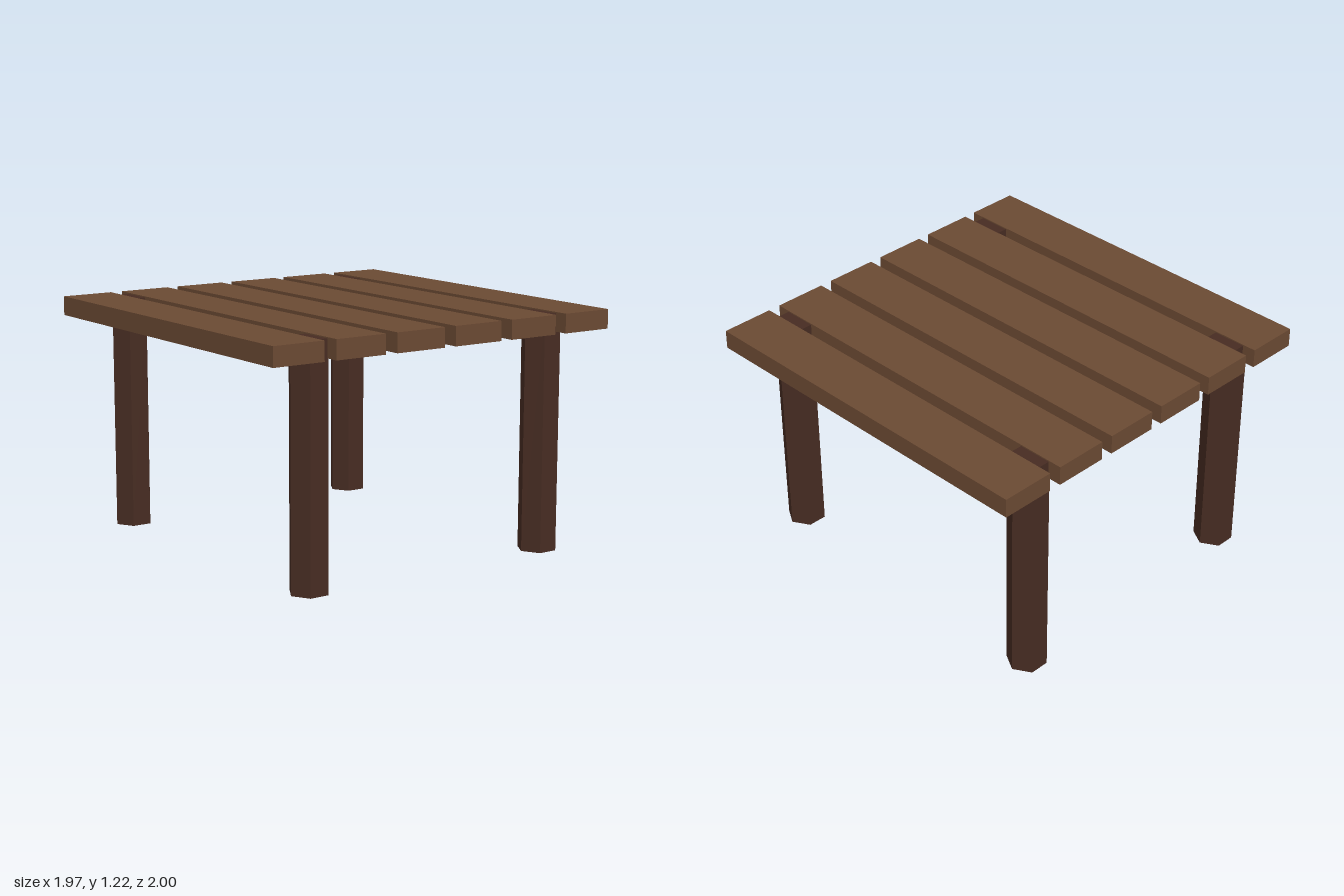
import * as THREE from 'three';

export function createModel() {
  const table = new THREE.Group();
  table.name = 'slattedTable';

  const slatWood = new THREE.MeshStandardMaterial({ name: 'slat brown', color: 0x6b4a33 });
  const legWood = new THREE.MeshStandardMaterial({ name: 'dark leg brown', color: 0x472c22 });
  legWood.flatShading = true;

  // Six evenly spaced planks form the top
  const slatCount = 6, slatWidth = 0.279, pitch = 0.3442;
  const slatGeometry = new THREE.BoxGeometry(1.974, 0.098, slatWidth);
  for (let i = 0; i < slatCount; i++) {
    const slat = new THREE.Mesh(slatGeometry, slatWood);
    slat.name = `slat${i + 1}`;
    slat.position.set(0, 1.169, (i - (slatCount - 1) / 2) * pitch);
    table.add(slat);
  }

  // Hexagonal legs rise between the outer planks, stopping just below the top
  const legHeight = 1.212;
  const legGeometry = new THREE.CylinderGeometry(0.101, 0.101, legHeight, 6);
  for (const [sx, side] of [[1, 'Left'], [-1, 'Right']]) {
    for (const [sz, end] of [[1, 'front'], [-1, 'back']]) {
      const leg = new THREE.Mesh(legGeometry, legWood);
      leg.name = `${end}${side}Leg`;
      leg.position.set(sx * 0.827, legHeight / 2, sz * 0.7);
      table.add(leg);
    }
  }

  return table;
}
